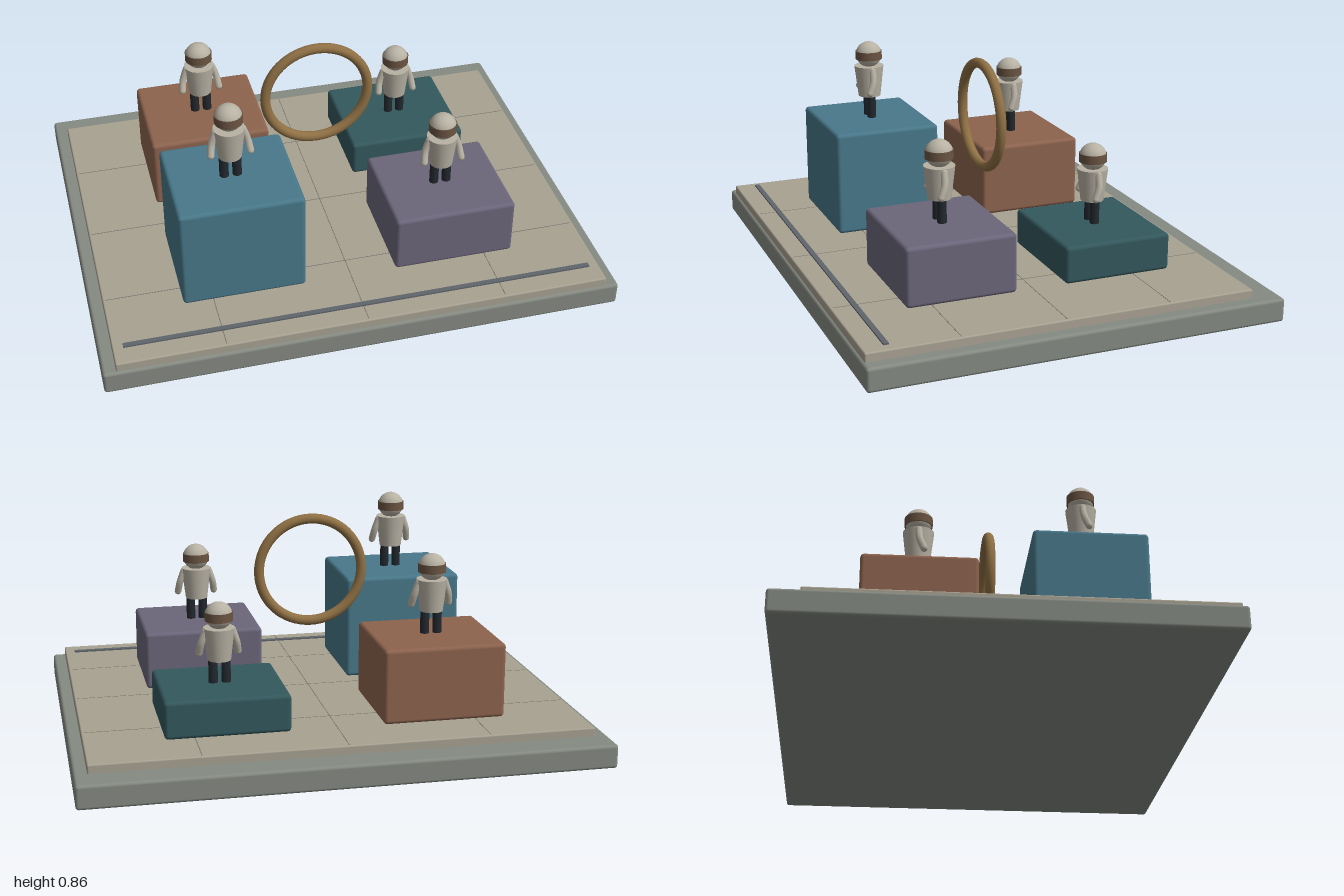
import * as THREE from 'three';
import { RoundedBoxGeometry } from 'three/addons/geometries/RoundedBoxGeometry.js';

const mat = (color) => new THREE.MeshStandardMaterial({ color });
const stone = mat(0x858a82), sand = mat(0xa8a292), seamMat = mat(0x77756c), lineMat = mat(0x5f656b);
const cloth = mat(0xb8b2a4), visorMat = mat(0x6a5442), dark = mat(0x22282e), bronze = mat(0x8f7044);

function add(parent, name, geometry, material, x = 0, y = 0, z = 0) {
  const mesh = new THREE.Mesh(geometry, material);
  mesh.name = name;
  mesh.position.set(x, y, z);
  parent.add(mesh);
  return mesh;
}

// Standing figure with its feet at y = 0
function figure() {
  const g = new THREE.Group();
  g.name = 'figure';
  add(g, 'torso', new THREE.CylinderGeometry(0.06, 0.045, 0.127, 20), cloth, 0, 0.152, 0);
  add(g, 'head', new THREE.SphereGeometry(0.053, 24, 16), cloth, 0, 0.262, 0);
  add(g, 'visor', new THREE.CylinderGeometry(0.054, 0.054, 0.034, 24), visorMat, 0, 0.26, 0);
  for (const s of [-1, 1]) {
    add(g, 'leg', new THREE.CylinderGeometry(0.018, 0.018, 0.1, 12), dark, s * 0.025, 0.05, 0);
    const path = new THREE.CatmullRomCurve3([
      new THREE.Vector3(s * 0.052, 0.203, 0),
      new THREE.Vector3(s * 0.068, 0.155, 0.004),
      new THREE.Vector3(s * 0.075, 0.113, 0.02),
    ]);
    add(g, 'arm', new THREE.TubeGeometry(path, 10, 0.014, 10), cloth);
    // rounded shoulder and hand
    for (const t of [0, 1]) {
      const p = path.getPoint(t);
      add(g, t ? 'hand' : 'shoulder', new THREE.SphereGeometry(0.014, 10, 8), cloth, p.x, p.y, p.z);
    }
  }
  return g;
}

export function createModel() {
  const model = new THREE.Group();
  model.name = 'plinthDisplay';

  // Base slab and the floor plate on it
  add(model, 'base', new RoundedBoxGeometry(2, 0.092, 1.62, 3, 0.012), stone, 0, 0.046, 0);
  add(model, 'floorPlate', new RoundedBoxGeometry(1.9, 0.04, 1.5, 2, 0.006), sand, 0, 0.106, 0.05);

  // Fine seams in the floor
  for (const x of [-0.54, 0, 0.54])
    add(model, 'floorSeam', new THREE.BoxGeometry(0.003, 0.002, 1.48), seamMat, x, 0.1256, 0.05);
  for (const z of [-0.36, 0.05, 0.45])
    add(model, 'floorSeam', new THREE.BoxGeometry(1.88, 0.002, 0.003), seamMat, 0, 0.1256, z);

  // Raised strip along the front
  add(model, 'frontStrip', new THREE.BoxGeometry(1.82, 0.012, 0.02), lineMat, 0, 0.126, 0.711);

  // Four plinths of differing height, each with a figure: x, z, top, colour
  const plinths = [
    [-0.417, 0.333, 0.543, 0x48788a],
    [0.415, 0.333, 0.357, 0x6b667a],
    [-0.417, -0.294, 0.418, 0x8d634e],
    [0.415, -0.294, 0.271, 0x33585d],
  ];
  for (const [x, z, top, color] of plinths) {
    const h = top - 0.125;
    add(model, 'plinth', new RoundedBoxGeometry(0.476, h, 0.43, 3, 0.015), mat(color), x, 0.125 + h / 2, z);
    const f = figure();
    f.position.set(x, top, z);
    model.add(f);
  }

  // Floating ring in the middle
  add(model, 'ring', new THREE.TorusGeometry(0.208, 0.02, 14, 64), bronze, 0, 0.62, 0);
  return model;
}
